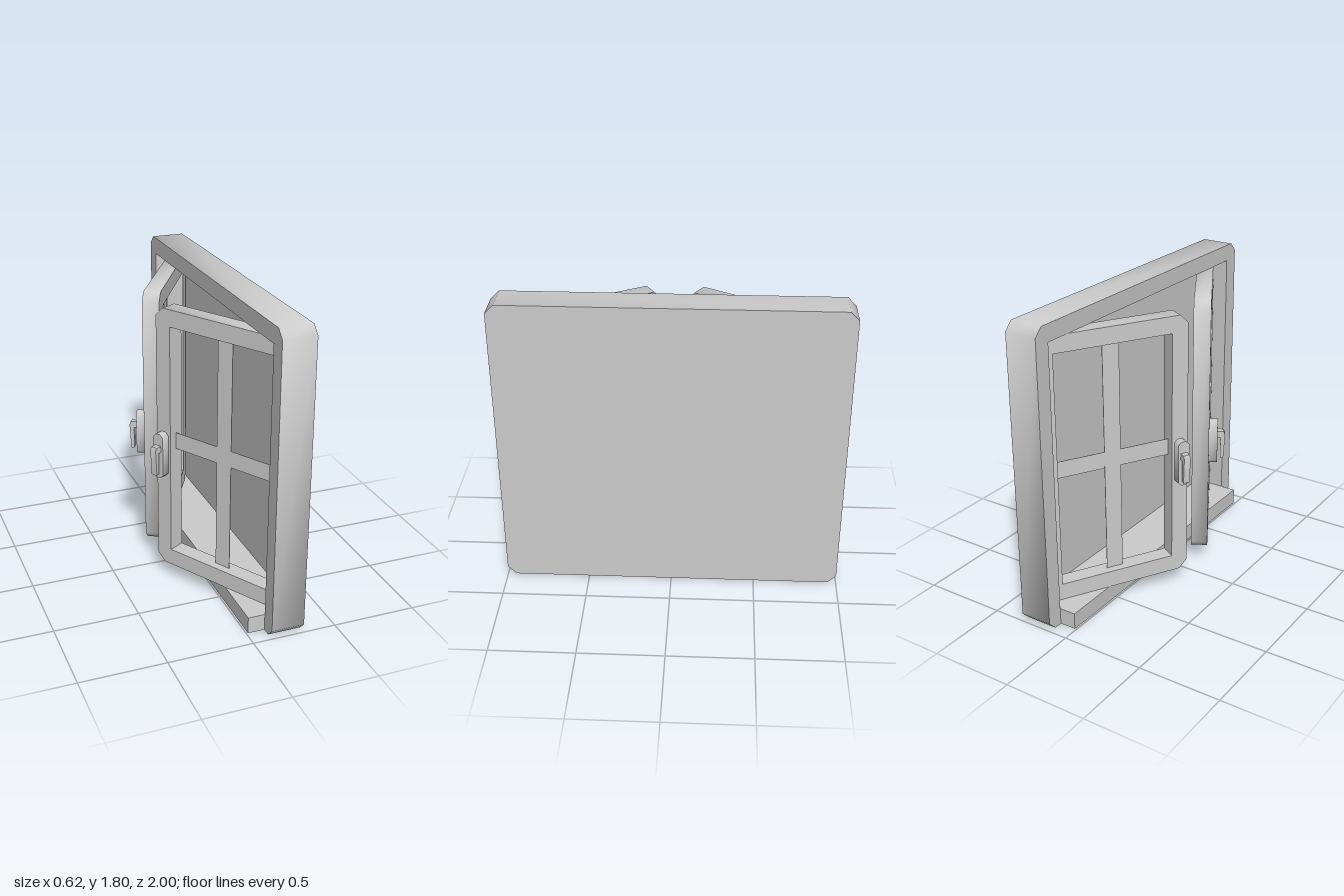
import * as THREE from 'three';
import { toCreasedNormals } from 'three/addons/utils/BufferGeometryUtils.js';

const paint = new THREE.MeshStandardMaterial({ color: 0xcccccc, side: THREE.DoubleSide });
paint.name = 'light grey';

// Rectangle with clipped corners; the corners on the x0 side can stay square
function clippedRect(x0, x1, y0, y1, c, squareStart = false) {
  const a = squareStart ? 0 : c;
  const pts = [[x0 + a, y0], [x1 - c, y0], [x1, y0 + c], [x1, y1 - c], [x1 - c, y1], [x0 + a, y1]];
  if (a) pts.push([x0, y1 - a], [x0, y0 + a]);
  return new THREE.Shape(pts.map(p => new THREE.Vector2(...p)));
}

function rectHole(x0, x1, y0, y1) {
  return new THREE.Path([[x0, y0], [x0, y1], [x1, y1], [x1, y0]].map(p => new THREE.Vector2(...p)));
}

function extrude(name, shape, depth, z = 0) {
  const geo = new THREE.ExtrudeGeometry(shape, { depth, bevelEnabled: false });
  geo.translate(0, 0, z);
  const mesh = new THREE.Mesh(toCreasedNormals(geo, THREE.MathUtils.degToRad(50)), paint);
  mesh.name = name;
  return mesh;
}

function box(name, w, h, d, x, y, z) {
  const mesh = new THREE.Mesh(new THREE.BoxGeometry(w, h, d), paint);
  mesh.name = name;
  mesh.position.set(x, y, z);
  return mesh;
}

// Clipped backplate and a hanging lever, local +z points out of the sash
function makeHandle() {
  const handle = new THREE.Group();
  handle.name = 'handle';
  handle.add(extrude('handlePlate', clippedRect(-0.035, 0.035, 0.685, 0.96, 0.02), 0.05));
  const profile = [[0.045, 0.85], [0.068, 0.85], [0.066, 0.72], [0.086, 0.715],
    [0.095, 0.87], [0.086, 0.89], [0.045, 0.89]];
  const lever = extrude('handleLever', new THREE.Shape(profile.map(p => new THREE.Vector2(...p))), 0.04, -0.02);
  lever.rotation.y = -Math.PI / 2;
  handle.add(lever);
  return handle;
}

// Sash: local x runs from hinge to free edge; out = direction of the outside along local z
function makeSash(name, side) {
  const out = -side;
  const sash = new THREE.Group();
  sash.name = name;
  const shape = clippedRect(0, 0.9, 0.1, 1.7, 0.05);
  shape.holes.push(rectHole(0.1, 0.8, 0.2, 1.6));
  sash.add(extrude('sashFrame', shape, 0.1, out > 0 ? -0.1 : 0));
  // thin glazing bars in the middle of the sash
  sash.add(box('uprightBar', 0.1, 1.4, 0.004, 0.45, 0.9, -0.05 * out));
  sash.add(box('crossBar', 0.7, 0.1, 0.003, 0.45, 0.9, -0.05 * out));
  const handle = makeHandle();
  handle.position.x = 0.85;
  if (out < 0) handle.rotation.y = Math.PI;
  sash.add(handle);
  // hinged at the jamb, swung open by 30 degrees
  sash.position.set(0.205, 0, 0.9 * side);
  sash.rotation.y = side * THREE.MathUtils.degToRad(120);
  return sash;
}

export function createModel() {
  const model = new THREE.Group();
  model.name = 'window';

  // outer frame
  const outline = clippedRect(-1, 1, 0, 1.8, 0.05);
  outline.holes.push(rectHole(-0.9, 0.9, 0.1, 1.7));
  const frame = extrude('outerFrame', outline, 0.191, 0.11);
  frame.rotation.y = Math.PI / 2;
  model.add(frame);

  // closing panel behind the sashes
  const panel = extrude('backPanel', clippedRect(-1, 1, 0, 1.8, 0.05), 0.004, 0.301);
  panel.rotation.y = Math.PI / 2;
  model.add(panel);

  // ledge under the opening
  model.add(box('sill', 0.1, 0.1, 1.8, 0.06, 0.05, 0));

  model.add(makeSash('frontSash', 1), makeSash('backSash', -1));
  return model;
}
